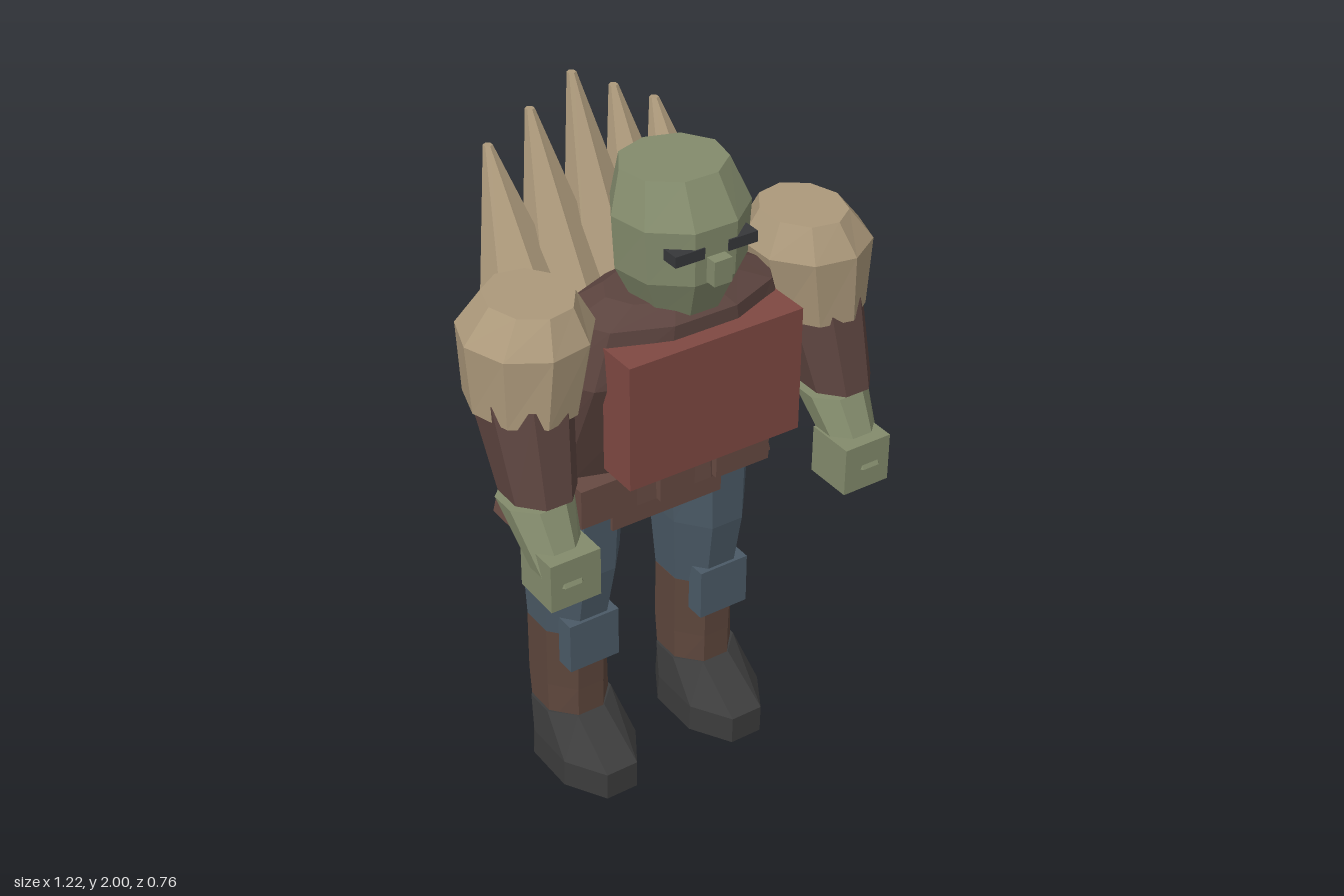
import * as THREE from 'three';

const mat = (name, color) => {
  const m = new THREE.MeshStandardMaterial({ color });
  m.name = name;
  return m;
};

// Closed faceted loft. Rings run bottom to top: [y, centreX, centreZ, radiusX, radiusZ].
function loft(rings, sides, phase = 0.5) {
  const pos = [], idx = [];
  for (const [y, cx, cz, rx, rz] of rings) {
    for (let j = 0; j < sides; j++) {
      const a = ((j + phase) / sides) * Math.PI * 2;
      pos.push(cx + Math.sin(a) * rx, y, cz + Math.cos(a) * rz);
    }
  }
  for (let i = 0; i < rings.length - 1; i++) {
    for (let j = 0; j < sides; j++) {
      const k = (j + 1) % sides, lo = i * sides, hi = lo + sides;
      idx.push(lo + j, lo + k, hi + k, lo + j, hi + k, hi + j);
    }
  }
  const top = (rings.length - 1) * sides;
  for (let j = 1; j < sides - 1; j++) {
    idx.push(0, j + 1, j, top, top + j, top + j + 1);
  }
  const g = new THREE.BufferGeometry();
  g.setAttribute('position', new THREE.Float32BufferAttribute(pos, 3));
  g.setIndex(idx);
  const flat = g.toNonIndexed();
  flat.computeVertexNormals();
  return flat;
}

// Box given by its limits on each axis
function box(x0, x1, y0, y1, z0, z1) {
  return new THREE.BoxGeometry(x1 - x0, y1 - y0, z1 - z0)
    .translate((x0 + x1) / 2, (y0 + y1) / 2, (z0 + z1) / 2);
}

export function createModel() {
  const model = new THREE.Group();
  model.name = 'armouredBrute';
  const skin = mat('olive skin', 0x838b6c);
  const bone = mat('bone', 0xac997b);
  const leather = mat('dark leather', 0x5c443f);
  const belting = mat('belt leather', 0x664a42);
  const wrap = mat('shin leather', 0x5d463c);
  const red = mat('red plate', 0x7f4842);
  const cloth = mat('blue cloth', 0x4b5a66);
  const black = mat('boot black', 0x3c3c3c);
  const dark = mat('eye dark', 0x36373a);

  const add = (name, geometry, material) => {
    const m = new THREE.Mesh(geometry, material);
    m.name = name;
    model.add(m);
    return m;
  };

  // Head and face
  add('head', loft([
    [1.57, 0, 0.135, 0.12, 0.12],
    [1.69, 0, 0.135, 0.178, 0.172],
    [1.84, 0, 0.135, 0.187, 0.176],
    [1.95, 0, 0.105, 0.147, 0.135],
  ], 9), skin);
  add('nose', box(-0.027, 0.027, 1.695, 1.765, 0.26, 0.332), skin);

  // Torso leaning forward from the waist, with a chest plate
  add('torso', loft([
    [1.0, 0, -0.07, 0.39, 0.175],
    [1.41, 0, 0.09, 0.37, 0.185],
    [1.57, 0, 0.1, 0.31, 0.17],
    [1.61, 0, 0.1, 0.2, 0.12],
  ], 10), leather);
  add('chestPlate', box(-0.268, 0.268, 1.16, 1.53, 0.19, 0.315), red);

  // Belt, pouches and hanging flaps
  add('belt', loft([
    [0.94, 0, -0.07, 0.405, 0.2],
    [1.02, 0, -0.07, 0.4, 0.195],
  ], 10), belting);
  add('buckle', box(-0.056, 0.056, 0.94, 1.06, 0.05, 0.14), belting);
  add('frontFlap', box(-0.18, 0.18, 0.86, 0.98, 0.065, 0.09), belting);
  const backFlap = add('backFlap', box(-0.24, 0.24, -0.1, 0, -0.012, 0.012), belting);
  backFlap.position.set(0, 0.96, -0.24);
  backFlap.rotation.x = 0.25;

  // Row of leaning spikes across the upper back
  for (let i = -2; i <= 2; i++) {
    const x = i * 0.13;
    add('backSpike', loft([
      [1.49, x, -0.2, 0.121, 0.115],
      [2 - Math.abs(i) * 0.07, x, -0.368, 0.013, 0.013],
    ], 6, 0), bone);
  }

  // Mirrored parts
  for (const s of [-1, 1]) {
    const side = s > 0 ? 'left' : 'right';
    const phase = s > 0 ? 0.25 : 0.75; // flat side of the pad faces outwards
    const pair = (a, b) => (s > 0 ? [a, b] : [-b, -a]);

    add(side + 'Eye', box(...pair(0.036, 0.124), 1.765, 1.796, 0.25, 0.303), dark);
    add(side + 'ShoulderPad', loft([
      [1.4, s * 0.452, 0.097, 0.145, 0.175],
      [1.6, s * 0.435, 0.097, 0.177, 0.187],
      [1.69, s * 0.422, 0.097, 0.115, 0.135],
    ], 9, phase), bone);
    add(side + 'UpperArm', loft([
      [1.19, s * 0.475, 0.2, 0.1, 0.115],
      [1.45, s * 0.46, 0.1, 0.13, 0.165],
    ], 8), leather);
    add(side + 'Forearm', loft([
      [0.985, s * 0.48, 0.31, 0.067, 0.072],
      [1.165, s * 0.477, 0.185, 0.103, 0.1],
    ], 8), skin);
    add(side + 'Hand', box(...pair(0.395, 0.545), 0.92, 1.065, 0.222, 0.37), skin);

    add(side + 'Pouch', box(...pair(0.13, 0.307), 0.945, 1.065, 0.04, 0.137), belting);
    const flap = add(side + 'HipFlap', box(-0.012, 0.012, -0.1, 0, -0.09, 0.09), belting);
    flap.position.set(s * 0.37, 0.96, -0.075);
    flap.rotation.z = s * 0.25;

    add(side + 'Trouser', loft([
      [0.49, s * 0.22, -0.09, 0.112, 0.135],
      [0.72, s * 0.215, -0.075, 0.133, 0.165],
      [1.0, s * 0.21, -0.075, 0.148, 0.172],
    ], 8), cloth);
    add(side + 'KneePad', box(...pair(0.142, 0.303), 0.395, 0.555, -0.005, 0.057), cloth);
    add(side + 'ShinWrap', loft([
      [0.15, s * 0.22, -0.085, 0.11, 0.12],
      [0.29, s * 0.22, -0.095, 0.11, 0.133],
      [0.49, s * 0.22, -0.09, 0.113, 0.134],
    ], 8), wrap);
    add(side + 'Boot', loft([
      [0, s * 0.22, -0.015, 0.133, 0.222],
      [0.09, s * 0.22, -0.01, 0.133, 0.218],
      [0.195, s * 0.22, -0.083, 0.118, 0.118],
    ], 8), black);
  }
  return model;
}
